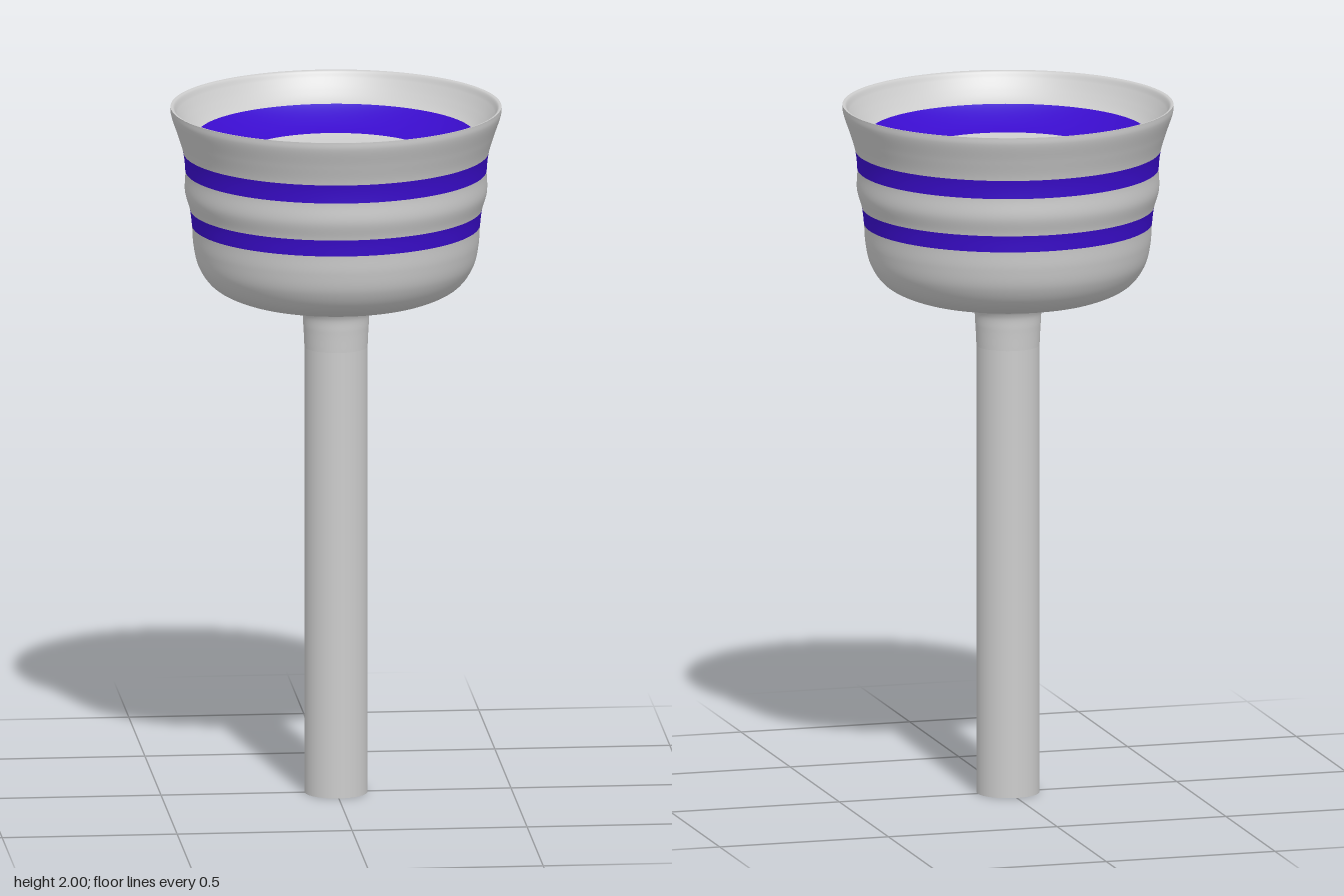
import * as THREE from 'three';

const SEGMENTS = 96;

// Smooth curve through profile points, given as [radius, height]
function smoothProfile(points, samples) {
  const curve = new THREE.CatmullRomCurve3(
    points.map(([r, y]) => new THREE.Vector3(r, y, 0)), false, 'centripetal');
  return curve.getPoints(samples).map((p) => new THREE.Vector2(Math.max(p.x, 0), p.y));
}

// Cut a profile at given indices so each piece can take its own colour
function addBands(group, profile, cuts, names, materials) {
  const stops = [0, ...cuts, profile.length - 1];
  names.forEach((name, i) => {
    const part = profile.slice(stops[i], stops[i + 1] + 1);
    const mesh = new THREE.Mesh(new THREE.LatheGeometry(part, SEGMENTS), materials[i]);
    mesh.name = name;
    group.add(mesh);
  });
}

export function createModel() {
  const model = new THREE.Group();
  model.name = 'cupOnStem';
  const grey = new THREE.MeshStandardMaterial({ color: 0xcccccc, side: THREE.DoubleSide });
  const blue = new THREE.MeshStandardMaterial({ color: 0x3a0ccc, side: THREE.DoubleSide });

  // Stem with a closed foot
  const stem = new THREE.Mesh(new THREE.CylinderGeometry(0.09, 0.09, 1.3, 64), grey);
  stem.name = 'stem';
  stem.position.y = 0.65;
  model.add(stem);

  // Cup outside: neck, rounded belly, waist, bulge and flared rim
  const outside = smoothProfile([
    [0.09, 1.3], [0.093, 1.36], [0.097, 1.4], [0.112, 1.42], [0.2, 1.435],
    [0.29, 1.453], [0.355, 1.487], [0.392, 1.54], [0.406, 1.6], [0.41, 1.655],
    [0.416, 1.703], [0.43, 1.755], [0.429, 1.814], [0.435, 1.868],
    [0.452, 1.925], [0.47, 1.98], [0.471, 2.0],
  ], 160);
  const outerCuts = [1.655, 1.703, 1.814, 1.868].map((y) => outside.findIndex((p) => p.y >= y));
  addBands(model, outside, outerCuts,
    ['cupBelly', 'lowerStripe', 'cupBulge', 'upperStripe', 'cupFlare'],
    [grey, blue, grey, blue, grey]);

  // Cup inside: rolled lip, shallow bowl with a blue ring and a pale centre
  const inside = smoothProfile([
    [0.471, 2.0], [0.463, 1.998], [0.452, 1.98], [0.43, 1.95], [0.4, 1.92],
    [0.34, 1.885], [0.272, 1.86], [0.15, 1.846], [0, 1.842],
  ], 100);
  const innerCuts = [0.398, 0.272].map((r) => inside.findIndex((p) => p.x <= r));
  addBands(model, inside, innerCuts, ['innerLip', 'innerRing', 'bowlCentre'], [grey, blue, grey]);

  return model;
}
